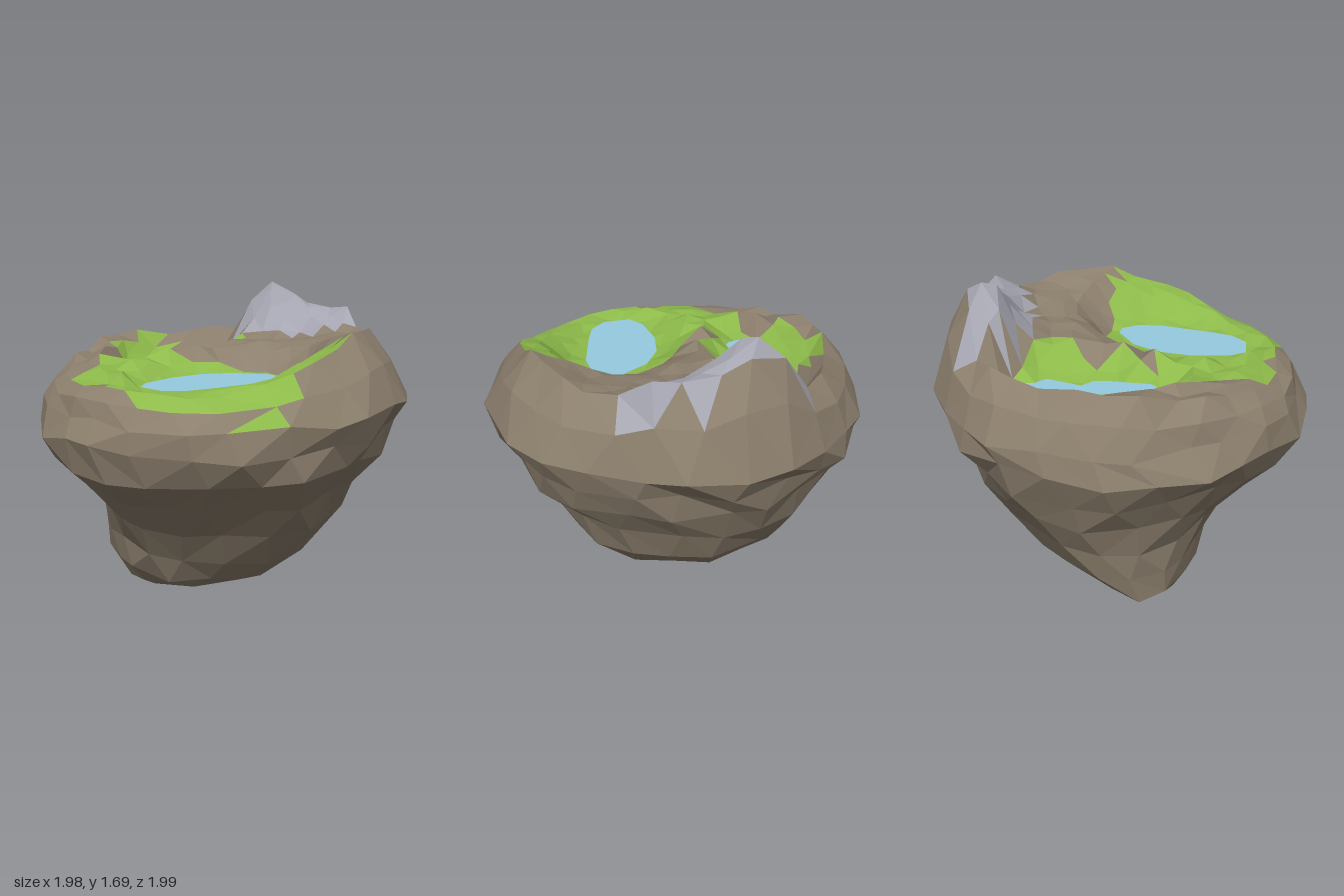
import * as THREE from 'three';

// Seeded noise in -1..1
let seed = 11;
const rnd = () => {
  seed = (seed * 16807) % 2147483647;
  return (seed / 2147483647) * 2 - 1;
};

// Tables every 30 degrees (0 = +x, 90 = front): crest height, crest radius, rim and waist fullness
const CREST = [1.5, 1.36, 1.25, 1.28, 1.25, 1.3, 1.37, 1.42, 1.43, 1.43, 1.47, 1.47];
const CREST_R = [0.76, 0.79, 0.82, 0.82, 0.81, 0.79, 0.8, 0.8, 0.82, 0.8, 0.8, 0.8];
const RIM = [1, 0.98, 1.03, 0.98, 1, 0.96, 1, 1, 1.02, 1, 1, 1];
const WAIST = [1, 1.05, 1.03, 1, 1, 0.96, 1, 1.05, 1, 1, 1, 1.03];

// Body cross-sections: height, extents at -x, +x, front and back, number of corners
const SECTIONS = [
  [0.07, -0.54, -0.03, 0.28, 0.02, 9],
  [0.16, -0.71, 0.29, 0.39, -0.32, 14],
  [0.31, -0.74, 0.48, 0.46, -0.53, 17],
  [0.5, -0.77, 0.65, 0.57, -0.72, 19],
  [0.69, -0.81, 0.73, 0.73, -0.8, 21],
  [0.86, -0.91, 0.87, 0.92, -0.89, 23],
  [1.01, -1.0, 0.93, 0.99, -0.95, 25],
  [1.14, -0.96, 0.99, 0.95, -0.99, 26],
];

// Rings across the upper ground: share of the crest radius, number of corners
const TOP_RINGS = [[1, 32], [0.91, 32], [0.82, 31], [0.72, 30], [0.61, 28], [0.49, 24], [0.35, 17], [0.18, 9]];

const PONDS = [
  { name: 'largePond', y: 1.26, x: 0.17, z: 0.34, a: 0.37, b: 0.2, dir: [-0.39, 0.92],
    shore: [[0.3, 0], [0.37, 0.02], [0.41, 0.12], [0.39, 0.25], [0.27, 0.5], [0.2, 0.62], [0.1, 0.68],
      [-0.05, 0.65], [-0.09, 0.55], [-0.07, 0.35], [0, 0.18], [0.12, 0.06]] },
  { name: 'smallPond', y: 1.25, x: -0.42, z: -0.2, a: 0.35, b: 0.09, dir: [-0.21, 0.98],
    shore: [[-0.38, -0.53], [-0.3, -0.52], [-0.28, -0.42], [-0.38, -0.25], [-0.33, -0.18], [-0.34, -0.1],
      [-0.4, 0.12], [-0.55, 0.12], [-0.57, 0.07], [-0.48, -0.05], [-0.5, -0.2], [-0.45, -0.4]] },
];

// Ground plan of the grass and of the grey crag, as x, z
const GRASS = [[-0.38, -0.56], [-0.18, -0.5], [-0.03, -0.36], [-0.18, -0.22], [-0.2, 0], [-0.3, 0.08],
  [-0.3, 0.22], [-0.18, 0.15], [0, -0.03], [0.25, -0.09], [0.5, -0.02], [0.79, 0.03], [0.74, 0.25],
  [0.7, 0.45], [0.68, 0.68], [0.35, 0.82], [0.2, 0.88], [0.05, 0.85], [-0.2, 0.75], [-0.42, 0.7],
  [-0.5, 0.45], [-0.58, 0.3], [-0.57, 0.05], [-0.72, 0], [-0.7, -0.38], [-0.5, -0.4]];
const CRAG = [[-0.42, -0.8], [0, -0.83], [0.4, -0.78], [0.58, -0.66], [0.52, -0.52], [0.15, -0.46],
  [-0.25, -0.48], [-0.42, -0.65]];

function inside(poly, x, z) {
  let hit = false;
  poly.forEach(([x1, z1], i) => {
    const [x2, z2] = poly[(i + 1) % poly.length];
    if (z1 > z !== z2 > z && x < ((x2 - x1) * (z - z1)) / (z2 - z1) + x1) hit = !hit;
  });
  return hit;
}

// Value of a 30-degree table at any angle
function around(table, angle) {
  const t = (((angle / (Math.PI * 2)) % 1) + 1) % 1 * 12;
  const i = Math.floor(t) % 12;
  return THREE.MathUtils.lerp(table[i], table[(i + 1) % 12], t - Math.floor(t));
}

const bell = (d, w) => Math.exp(-((d / w) ** 2));

// Height of the upper ground: bowl inside the crest, two hollows, a crag at the back
function ground(x, z) {
  const angle = Math.atan2(z, x);
  const t = Math.min(1, Math.hypot(x, z) / around(CREST_R, angle));
  let h = THREE.MathUtils.lerp(1.37, around(CREST, angle), t * t);
  for (const p of PONDS) {
    const dx = x - p.x, dz = z - p.z;
    const u = dx * p.dir[0] + dz * p.dir[1], v = dx * p.dir[1] - dz * p.dir[0];
    const q = Math.hypot(u / p.a, v / p.b);
    const bank = q > 1 ? Math.max(0, Math.hypot(u, v) * (1 - 1 / q) - 0.05) : 0;
    h = Math.min(h, p.y - 0.02 + 0.5 * bank + 1.8 * bank * bank);
  }
  const ridge = 0.28 * bell(x + 0.03, 0.21) + 0.09 * bell(x - 0.4, 0.17);
  return h + ridge * bell(z + 0.7, z > -0.7 ? 0.14 : 0.22);
}

// Rings of points from the foot, out over the rim and in across the top
function buildRings() {
  const rings = [];
  const addRing = (count, wobble, fn) => {
    const shift = (rings.length % 2) * 0.5;
    rings.push(Array.from({ length: count }, (_, j) => fn(((j + shift + rnd() * wobble) / count) * Math.PI * 2)));
  };
  const section = ([y, l, r, f, b], a, jitter) => {
    const cx = (l + r) / 2, cz = (f + b) / 2;
    let k = 1 + rnd() * jitter;
    if (y > 0.95) k *= around(RIM, a);
    else if (y > 0.6) k *= around(WAIST, a);
    // The foot narrows towards its -x end
    else if (Math.cos(a) < 0) k -= 0.09 * Math.sin(2 * a) ** 2;
    return new THREE.Vector3(
      cx + (r - l) / 2 * Math.cos(a) * k, y + rnd() * jitter, cz + (f - b) / 2 * Math.sin(a) * k);
  };
  const crest = (a, scale, jitter) => {
    const r = around(CREST_R, a) * scale * (1 + rnd() * jitter);
    const x = r * Math.cos(a), z = r * Math.sin(a);
    return new THREE.Vector3(x, ground(x, z), z);
  };

  addRing(1, 0, () => new THREE.Vector3(-0.33, 0, 0.17));
  SECTIONS.forEach((s, i) => addRing(s[5], 0.2, (a) => section(s, a, i < 2 ? 0.02 : 0.028)));
  // Shoulder between the rim and the crest
  addRing(28, 0.2, (a) => {
    const p = section(SECTIONS[SECTIONS.length - 1], a, 0.01);
    const q = crest(a, 1, 0);
    p.lerp(q, 0.5);
    p.y += (q.y - p.y) * 0.15 + rnd() * 0.015;
    return p.multiply(new THREE.Vector3(1.03, 1, 1.02));
  });
  for (const [scale, count] of TOP_RINGS) {
    addRing(count, 0.2, (a) => {
      const p = crest(a, scale, 0.025);
      if (p.y > 1.28) p.y += rnd() * 0.02;
      return p;
    });
  }
  addRing(1, 0, () => new THREE.Vector3(0, ground(0, 0), 0));
  return rings;
}

export function createModel() {
  const group = new THREE.Group();
  const parts = { rock: [], grass: [], crag: [] };
  const colors = { rock: 0x8c7f6d, grass: 0x8dba4a, crag: 0xa6a6b2 };

  // Sort each facet into rock, grass or crag by where it lies
  const facet = (a, b, c) => {
    const m = a.clone().add(b).add(c).divideScalar(3);
    if (b.clone().sub(a).cross(c.clone().sub(a)).length() < 1e-6) return;
    let part = 'rock';
    if (m.y > 1.12 && inside(GRASS, m.x, m.z)) part = 'grass';
    else if (m.y > 1.4 && inside(CRAG, m.x, m.z)) part = 'crag';
    for (const p of [a, b, c]) parts[part].push(p.x, p.y, p.z);
  };

  // Stitch neighbouring rings, stepping along whichever lags behind
  const rings = buildRings();
  for (let r = 0; r < rings.length - 1; r++) {
    const lo = rings[r], up = rings[r + 1];
    const loShift = (r % 2) * 0.5, upShift = 0.5 - loShift;
    let i = 0, k = 0;
    while (i < lo.length || k < up.length) {
      const a = lo[i % lo.length], b = up[k % up.length];
      const stepLow = k === up.length
        || (i < lo.length && (i + 1 + loShift) / lo.length < (k + 1 + upShift) / up.length);
      if (stepLow) facet(a, b, lo[++i % lo.length]);
      else facet(a, b, up[++k % up.length]);
    }
  }
  for (const name of Object.keys(parts)) {
    const geo = new THREE.BufferGeometry();
    geo.setAttribute('position', new THREE.Float32BufferAttribute(parts[name], 3));
    geo.computeVertexNormals();
    const mesh = new THREE.Mesh(geo, new THREE.MeshStandardMaterial({ color: colors[name], flatShading: true }));
    mesh.name = name;
    group.add(mesh);
  }

  // Flat water surfaces
  for (const p of PONDS) {
    const shape = new THREE.Shape(p.shore.map(([x, z]) => new THREE.Vector2(x, -z)));
    const geo = new THREE.ShapeGeometry(shape).rotateX(-Math.PI / 2);
    const water = new THREE.Mesh(geo, new THREE.MeshStandardMaterial({ color: 0x96cbdf, side: THREE.DoubleSide }));
    water.position.y = p.y;
    water.name = p.name;
    group.add(water);
  }
  return group;
}
